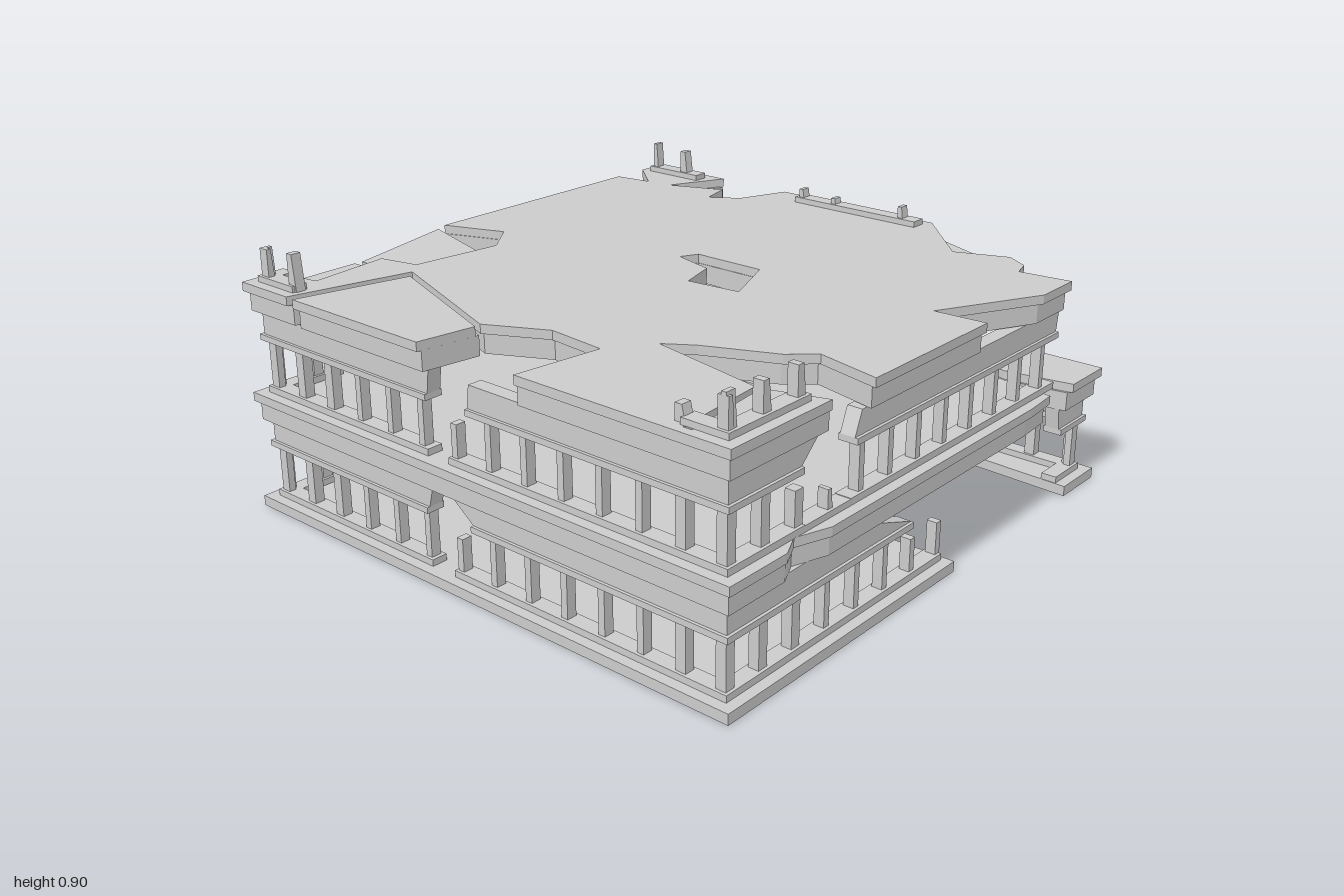
import * as THREE from 'three';

const mat = new THREE.MeshStandardMaterial({ color: 0xcccccc, flatShading: true });

// Flat plate from a plan outline [x, z] with optional holes, between two heights
function plate(parent, name, outline, holes, y0, y1, scale = 1) {
  const toVec = (pts) => pts.map(([x, z]) => new THREE.Vector2(x * scale, -z * scale));
  const shape = new THREE.Shape(toVec(outline));
  holes.forEach((h) => shape.holes.push(new THREE.Path(toVec(h))));
  const geo = new THREE.ExtrudeGeometry(shape, { depth: y1 - y0, bevelEnabled: false });
  geo.rotateX(-Math.PI / 2);
  geo.translate(0, y0, 0);
  const mesh = new THREE.Mesh(geo, mat);
  mesh.name = name;
  parent.add(mesh);
  return mesh;
}

// Thick storey slab: a cornice body with a wider lip on top
function storeySlab(parent, name, outline, holes, y) {
  plate(parent, name + 'Cornice', outline, holes, y, y + 0.065, 0.978);
  plate(parent, name + 'Lip', outline, holes, y + 0.065, y + 0.095, 0.993);
}

// Places a sheared box on a facade; u runs along the wall (x or z)
const SIDES = {
  front: (g) => g,
  back: (g) => g.scale(-1, 1, 1).rotateY(Math.PI),
  right: (g) => g.scale(-1, 1, 1).rotateY(Math.PI / 2),
  left: (g) => g.rotateY(-Math.PI / 2),
};
function flip(geo) {
  const idx = geo.index.array;
  for (let i = 0; i < idx.length; i += 3) [idx[i], idx[i + 1]] = [idx[i + 1], idx[i]];
}
function strip(parent, name, side, [b0, b1, t0, t1], y0, y1, outer, depth) {
  const geo = new THREE.BoxGeometry(1, 1, 1);
  const p = geo.attributes.position;
  for (let i = 0; i < p.count; i++) {
    const up = p.getY(i) > 0, far = p.getX(i) > 0;
    const u = up ? (far ? t1 : t0) : (far ? b1 : b0);
    p.setXYZ(i, THREE.MathUtils.clamp(u, -outer, outer), up ? y1 : y0, p.getZ(i) > 0 ? outer : outer - depth);
  }
  SIDES[side](geo);
  if (side === 'back' || side === 'right') flip(geo);
  geo.computeVertexNormals();
  const mesh = new THREE.Mesh(geo, mat);
  mesh.name = name;
  parent.add(mesh);
}

const columnAt = (i) => -0.935 + (i * 1.87) / 13;
const columnHalf = (i) => ([1, 2, 12].includes(i) ? 0.018 : 0.012);

// Surviving stretch of facade, given as [start, end] at the sill, the lintel and the top
function facade(parent, side, y, sill, lintel, top) {
  const wall = new THREE.Group();
  wall.name = side + 'Wall';
  parent.add(wall);
  strip(wall, 'windowSill', side, [...sill, ...sill], y, y + 0.022, 0.957, 0.055);
  strip(wall, 'lintel', side, [...lintel, ...lintel], y + 0.18, y + 0.2, 0.965, 0.065);
  strip(wall, 'spandrel', side, [...lintel, ...top], y + 0.2, y + 0.275, 0.955, 0.05);
  for (let i = 0; i < 14; i++) {
    const u = columnAt(i), w = columnHalf(i);
    if (u < sill[0] || u > sill[1]) continue;
    const whole = u >= lintel[0] && u <= lintel[1];
    strip(wall, 'column', side, [u - w, u + w, u - w, u + w], y + 0.02, y + (whole ? 0.18 : 0.13), 0.947, 0.035);
  }
}

// Broken column stubs and the kerb below them; list = [column index, height]
function stubs(parent, side, u0, u1, y, list) {
  strip(parent, 'kerb', side, [u0, u1, u0, u1], y, y + 0.02, 0.957, 0.055);
  list.forEach(([i, h]) => {
    const u = columnAt(i), w = columnHalf(i);
    strip(parent, 'columnStub', side, [u - w, u + w, u - w, u + w * 0.3], y, y + h, 0.947, 0.035);
  });
}

export function createModel() {
  const model = new THREE.Group();
  const storey = (name) => {
    const g = new THREE.Group();
    g.name = name;
    model.add(g);
    return g;
  };

  // Lower storey
  const lower = storey('lowerStorey');
  plate(lower, 'groundFloor',
    [[-1, 1], [0.1, 1], [0.1, 0.93], [0.1, 0.62], [-0.08, 0.62], [-0.18, 0.42], [0.1, 0.27], [0.38, 0.17],
      [0.62, 0.12], [1, 0], [1, -1], [-1, -1]],
    [[[0.2, -0.38], [0.38, -0.42], [0.4, -0.24], [0.24, -0.28]], [[-0.58, -0.06], [-0.4, -0.1], [-0.44, 0.06]]],
    0, 0.035, 0.993);
  plate(lower, 'groundFloorCorner', [[0.8, 1], [1, 1], [1, 0.39], [0.83, 0.41]], [], 0, 0.035, 0.993);
  [
    ['front', [-1, 0.08], [-1, -0.1], [-1, -0.32]],
    ['front', [0.8, 1], [0.79, 1], [0.78, 1]],
    ['back', [-1, -0.05], [-1, -0.12], [-1, -0.24]],
    ['back', [0.05, 1], [0.14, 1], [0.48, 1]],
    ['right', [-1, 0], [-1, -0.19], [-1, -0.14]],
    ['right', [0.4, 1], [0.44, 1], [0.5, 1]],
    ['left', [-1, -0.19], [-1, -0.19], [-1, -0.17]],
    ['left', [-0.09, 1], [0, 1], [-0.1, 1]],
  ].forEach(([side, ...spans]) => facade(lower, side, 0.035, ...spans));

  // Middle slab
  storeySlab(lower, 'middleSlab',
    [[-1, 1], [-0.76, 1], [-0.68, 0.96], [-0.56, 1], [0.52, 1], [0.66, 0.99], [0.7, 0.72], [0.75, 0.5],
      [0.84, 0.05], [1, -0.16], [1, -1], [-1, -1]],
    [[[-0.02, 0.02], [0.1, -0.02], [0.12, 0.2], [0, 0.22]]], 0.31);
  storeySlab(lower, 'middleSlabCorner', [[0.8, 1], [1, 1], [1, 0.46], [0.84, 0.5], [0.76, 0.76]], [], 0.31);

  // Upper storey
  const upper = storey('upperStorey');
  [
    ['front', [-1, -0.63], [-1, -0.65], [-1, -0.57]],
    ['front', [-0.42, 0.72], [-0.41, 0.71], [-0.38, 0.72]],
    ['back', [-1, -0.7], [-1, -0.67], [-1, -0.62]],
    ['back', [-0.42, 1], [-0.42, 1], [-0.42, 1]],
    ['right', [-1, -0.62], [-1, -0.78], [-1, -0.8]],
    ['left', [-1, -0.18], [-1, -0.17], [-1, -0.16]],
    ['left', [-0.09, 1], [0, 1], [0.01, 1]],
  ].forEach(([side, ...spans]) => facade(upper, side, 0.405, ...spans));
  stubs(upper, 'front', -0.64, -0.42, 0.405, [[3, 0.08]]);

  // Roof slab with broken edges and a central hole
  storeySlab(upper, 'roofSlab',
    [[-1, 1], [-0.58, 1], [-0.64, 0.81], [-0.97, 0.85], [-0.97, 0.82], [-0.64, 0.79], [-0.56, 0.38],
      [-0.5, 0.47], [-0.4, 0.7], [-0.33, 0.78], [-0.38, 1], [0.2, 1],
      [0.19, 0.82], [0.54, 1], [0.72, 1], [0.7, 0.82], [0.77, 0.8],
      [0.82, 0.72], [0.75, 0.54], [1, 0.3], [1, -0.36], [0.82, -0.43], [0.75, -0.53], [0.87, -0.56],
      [0.79, -0.76], [1, -0.66], [1, -1], [0.9, -1], [0.78, -0.86], [0.76, -1], [-0.15, -1], [-0.07, -0.78],
      [-0.2, -0.68], [-0.52, -0.72], [-0.55, -0.86], [-0.84, -0.83], [-0.87, -1], [-1, -1], [-1, -0.77],
      [-0.58, -0.67], [-0.78, -0.13], [-0.68, 0.07],
      [-0.7, 0.28], [-1, 0.24]],
    [[[0.11, -0.12], [0.17, -0.09], [0.17, 0.17], [-0.05, 0.26], [-0.07, 0.07], [0.07, 0.03]]], 0.685);
  // Cracked-off side piece and the slanted break at the open corner
  storeySlab(upper, 'roofSidePiece', [[-1, -0.74], [-0.61, -0.645], [-0.8, -0.13], [-1, -0.16]], [], 0.683);
  plate(upper, 'brokenRoofEdge', [[0.97, 0.3], [0.74, 0.53], [0.81, 0.74], [0.88, 0.57], [0.97, 0.35]], [], 0.686, 0.735);

  // Loose roof fragments, tilted in the gaps
  const chunk = plate(upper, 'backFragment', [[-0.2, -0.14], [0.17, -0.14], [0.1, 0.12], [-0.18, 0.13]], [], 0, 0.06);
  chunk.position.set(-0.34, 0.695, -0.83);
  chunk.rotation.set(0.08, 0.1, 0.06);
  plate(upper, 'backCornerFragment', [[-0.86, -0.98], [-0.56, -0.98], [-0.56, -0.86], [-0.84, -0.84]], [], 0.69, 0.74);

  // Remains of the storey above
  const remains = storey('topRemains');
  stubs(remains, 'front', -1, -0.62, 0.78, [[0, 0.11], [1, 0.11], [2, 0.11]]);
  stubs(remains, 'left', 0.8, 1, 0.78, [[13, 0.12], [12, 0.05]]);
  stubs(remains, 'left', -1, -0.78, 0.78, [[0, 0.11], [1, 0.12]]);
  stubs(remains, 'back', -1, -0.86, 0.78, [[0, 0.11]]);
  stubs(remains, 'right', -1, -0.72, 0.78, [[0, 0.11], [1, 0.1]]);
  stubs(remains, 'right', -0.24, 0.28, 0.78, [[5, 0.05], [6, 0.04], [8, 0.06]]);
  return model;
}
